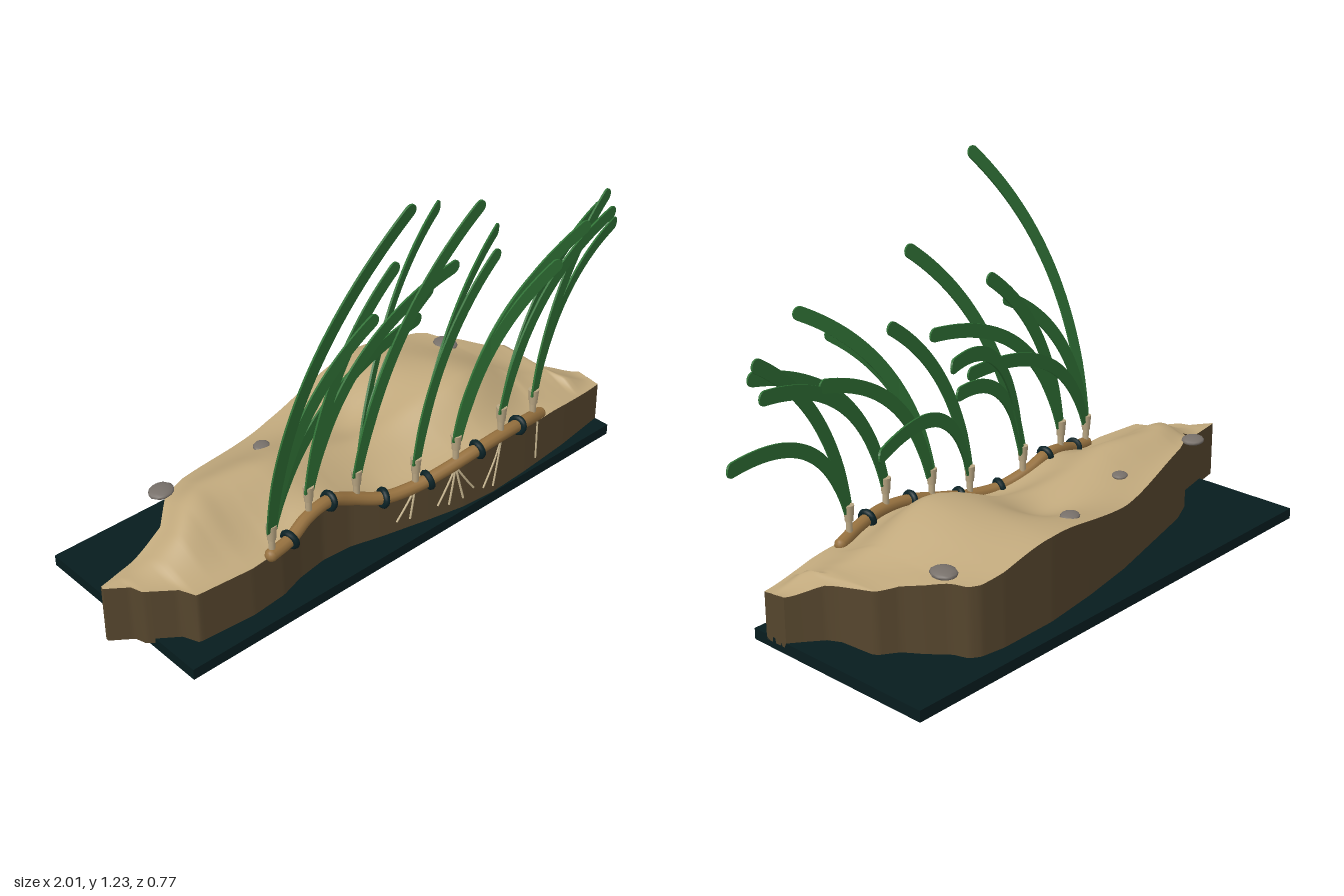
import * as THREE from 'three';

const mat = (name, color, side = THREE.FrontSide) => {
  const m = new THREE.MeshStandardMaterial({ color, side });
  m.name = name;
  return m;
};

// Eased interpolation through [x, value] pairs
function track(keys, smooth) {
  return (x) => {
    let i = 0;
    while (i < keys.length - 2 && x > keys[i + 1][0]) i++;
    const [x0, v0] = keys[i], [x1, v1] = keys[i + 1];
    let t = THREE.MathUtils.clamp((x - x0) / (x1 - x0), 0, 1);
    if (smooth) t = t * t * (3 - 2 * t);
    return v0 + (v1 - v0) * t;
  };
}

// Plan outline of the sand bank
const zBack = track([[-1, 0], [-0.9, -0.02], [-0.76, -0.05], [-0.69, -0.12], [-0.6, -0.16], [-0.4, -0.21],
  [-0.2, -0.26], [0, -0.295], [0.2, -0.32], [0.4, -0.322], [0.48, -0.31], [0.51, -0.29], [0.525, -0.24], [0.57, -0.19],
  [0.61, -0.13], [0.67, -0.09], [0.68, 0.03], [0.7, 0.07], [0.75, 0.11], [0.79, 0.14]]);
const zFront = track([[-1, 0.01], [-0.94, 0.055], [-0.93, 0.09], [-0.85, 0.15], [-0.83, 0.2], [-0.65, 0.215],
  [-0.53, 0.205], [-0.45, 0.18], [-0.35, 0.165], [-0.25, 0.172], [-0.15, 0.2], [0, 0.235], [0.13, 0.262],
  [0.25, 0.272], [0.4, 0.265], [0.6, 0.248], [0.79, 0.222]]);
// Heights along the front rim, the crest and the back rim
const yFront = track([[-1, 0.203], [-0.83, 0.2], [-0.57, 0.2], [-0.36, 0.245], [-0.1, 0.18], [0.25, 0.225],
  [0.5, 0.195], [0.79, 0.168]], true);
const yCrest = track([[-1, 0.205], [-0.92, 0.208], [-0.63, 0.312], [-0.45, 0.315], [-0.08, 0.255], [0.3, 0.34],
  [0.65, 0.222], [0.79, 0.172]], true);
const yBack = track([[-1, 0.205], [-0.9, 0.208], [-0.66, 0.28], [-0.25, 0.24], [0.2, 0.3], [0.52, 0.25],
  [0.67, 0.228], [0.68, 0.206], [0.79, 0.177]], true);
// How far back the crest lies across the bank
const crestAt = track([[-1, 0.7], [-0.62, 0.72], [-0.35, 0.5], [0, 0.45], [0.3, 0.36], [0.79, 0.45]], true);

function height(x, t) {
  const ease = (k) => k * k * (3 - 2 * k), c = crestAt(x);
  const y = t < c
    ? THREE.MathUtils.lerp(yFront(x), yCrest(x), ease((t / c) ** 1.15))
    : THREE.MathUtils.lerp(yCrest(x), yBack(x), ease((t - c) / (1 - c)));
  return y - 0.035 * Math.exp(-((x / 0.12) ** 2) - ((t - 0.62) / 0.18) ** 2);
}
const heightAt = (x, z) => height(x, THREE.MathUtils.clamp((zFront(x) - z) / (zFront(x) - zBack(x)), 0, 1));

// Smooth grid surface from a point rule
function surface(nu, nv, rule) {
  const pos = [], idx = [];
  for (let j = 0; j <= nv; j++) for (let i = 0; i <= nu; i++) pos.push(...rule(i / nu, j / nv));
  for (let j = 0; j < nv; j++) for (let i = 0; i < nu; i++) {
    const a = j * (nu + 1) + i, b = a + nu + 1;
    idx.push(a, a + 1, b, a + 1, b + 1, b);
  }
  const g = new THREE.BufferGeometry();
  g.setAttribute('position', new THREE.Float32BufferAttribute(pos, 3));
  g.setIndex(idx);
  g.computeVertexNormals();
  return g;
}

// Flat strap leaf with a rounded tip, bent in one plane;
// tall leaves bend sideways in a plane that leans forward, the rest in a vertical plane
function bladeGeometry(from, tip) {
  const dx = tip.x - from.x, dz = tip.z - from.z, tall = tip.y > 1;
  const reach = tall ? dx : Math.hypot(dx, dz);
  const dy = tall ? Math.hypot(tip.y - from.y, dz) : tip.y - from.y;
  const lift = THREE.MathUtils.clamp(0.45 + 0.35 * reach / dy, 0.6, 0.98);
  const curve = new THREE.QuadraticBezierCurve(new THREE.Vector2(0, 0),
    new THREE.Vector2(reach * (dy > 0.8 ? -0.1 : 0.2), dy * lift), new THREE.Vector2(reach, dy));
  const left = [], right = [], n = 28;
  for (let i = 0; i <= n; i++) {
    const p = curve.getPoint(i / n), d = curve.getTangent(i / n);
    const w = 0.016 + 0.005 * Math.min(1, i / 5);
    left.push(new THREE.Vector2(p.x - d.y * w, p.y + d.x * w));
    right.push(new THREE.Vector2(p.x + d.y * w, p.y - d.x * w));
  }
  const end = curve.getPoint(1), d = curve.getTangent(1), cap = [];
  for (let k = 1; k < 8; k++) {
    const a = Math.atan2(d.y, d.x) - Math.PI / 2 + Math.PI * k / 8;
    cap.push(new THREE.Vector2(end.x + Math.cos(a) * 0.021, end.y + Math.sin(a) * 0.021));
  }
  const shape = new THREE.Shape([...right, ...cap, ...left.reverse()]);
  const g = new THREE.ExtrudeGeometry(shape, { depth: 0.006, bevelEnabled: false }).translate(0, 0, -0.003);
  if (tall) g.rotateX(Math.asin(dz / dy));
  else g.rotateY(Math.atan2(-dz, dx));
  return g.translate(from.x, from.y, from.z);
}

export function createModel() {
  const root = new THREE.Group();
  root.name = 'seagrassBed';
  const M = {
    sand: mat('sand', 0xc0a87c, THREE.DoubleSide),
    soil: mat('soil', 0x55452d, THREE.DoubleSide),
    base: mat('darkTeal', 0x071c1e),
    leaf: mat('leafGreen', 0x2f7035),
    rhizome: mat('rhizomeBrown', 0x96713f),
    sheath: mat('sheathBeige', 0xb8a582),
    band: mat('bandDark', 0x0a2226),
    stone: mat('stoneGrey', 0x77706a),
    root: mat('rootTan', 0xcdbb94),
  };
  const add = (name, geo, m, parent = root) => {
    const mesh = new THREE.Mesh(geo, m);
    mesh.name = name;
    parent.add(mesh);
    return mesh;
  };
  const group = (name) => {
    const g = new THREE.Group();
    g.name = name;
    root.add(g);
    return g;
  };

  // Base slab
  add('baseSlab', new THREE.BoxGeometry(1.7, 0.035, 0.66).translate(-0.06, 0.0175, -0.055), M.base);

  // Sand bank: dune top, soil walls and underside
  const X = (u) => -1 + 1.79 * u, floor = 0.02;
  const wallY = (x, t, v) => floor + (height(x, t) - floor) * v;
  add('sandTop', surface(180, 28, (u, v) => {
    const x = X(u);
    return [x, height(x, v), THREE.MathUtils.lerp(zFront(x), zBack(x), v)];
  }), M.sand);
  add('frontWall', surface(180, 1, (u, v) => [X(u), wallY(X(u), 0, v), zFront(X(u))]), M.soil);
  add('backWall', surface(180, 1, (u, v) => [X(1 - u), wallY(X(1 - u), 1, v), zBack(X(1 - u))]), M.soil);
  for (const [name, x, dir] of [['rightEndWall', -1, -1], ['leftEndWall', 0.79, 1]]) {
    add(name, surface(8, 1, (u, v) => {
      const t = dir > 0 ? u : 1 - u;
      return [x, wallY(x, t, v), THREE.MathUtils.lerp(zFront(x), zBack(x), t)];
    }), M.soil);
  }
  add('underside', surface(180, 1, (u, v) =>
    [X(u), floor, THREE.MathUtils.lerp(zBack(X(u)), zFront(X(u)), v)]), M.soil);

  // Creeping rhizome along the front rim, its growing end turning in over the sand
  const path = new THREE.CatmullRomCurve3([[-0.575, 0.205, 0], [-0.5, 0.213, 0.004], [-0.42, 0.238, 0.006],
    [-0.33, 0.245, 0.006], [-0.25, 0.215, 0.006], [-0.15, 0.182, 0.006], [-0.05, 0.182, 0.006], [0.05, 0.2, 0.004],
    [0.18, 0.228, 0.002], [0.3, 0.235, 0], [0.4, 0.222, -0.008], [0.49, 0.2, -0.02]]
    .map(([x, y, out]) => new THREE.Vector3(x, y, zFront(x) + out)));
  add('rhizome', new THREE.TubeGeometry(path, 90, 0.02, 10), M.rhizome);
  const at = (x) => { // path parameter nearest a given x
    let lo = 0, hi = 1;
    for (let i = 0; i < 24; i++) {
      const mid = (lo + hi) / 2;
      if (path.getPoint(mid).x < x) lo = mid; else hi = mid;
    }
    return lo;
  };
  for (const t of [path.getPoint(0), path.getPoint(1)]) {
    add('rhizomeEnd', new THREE.SphereGeometry(0.02, 12, 8), M.rhizome).position.copy(t);
  }

  // Bands around the rhizome
  const bands = group('bands');
  for (const x of [-0.5, -0.33, -0.15, 0, 0.18, 0.36]) {
    const ring = add('band', new THREE.TorusGeometry(0.023, 0.01, 8, 20), M.band, bands);
    ring.position.copy(path.getPoint(at(x)));
    ring.quaternion.setFromUnitVectors(new THREE.Vector3(0, 0, 1), path.getTangent(at(x)));
  }

  // Shoots: base x, then the tips of the blades
  const shoots = [
    [-0.57, [-0.225, 1.213, 0.38], [-0.185, 0.795, 0.2], [0.08, 0.648, 0.1]],
    [-0.41, [-0.063, 0.893, 0.155], [0.2, 0.79, 0.13]],
    [-0.23, [0.198, 1.02, 0.225], [0.4, 0.812, -0.14], [0.23, 0.65, 0.005]],
    [-0.04, [0.3, 0.818, 0.2], [0.67, 0.637, -0.14]],
    [0.1, [0.52, 0.885, 0.34], [0.41, 0.797, 0.335], [0.56, 0.715, 0.2]],
    [0.28, [0.79, 0.792, 0.22], [0.82, 0.767, 0.14]],
    [0.45, [0.798, 0.838, 0.19], [0.985, 0.633, 0.08]],
  ];
  for (const [x, ...tips] of shoots) {
    const shoot = group('shoot');
    const foot = path.getPoint(at(x));
    add('stalk', new THREE.CylinderGeometry(0.01, 0.01, 0.06, 10)
      .translate(foot.x, foot.y + 0.03, foot.z - 0.003), M.sheath, shoot);
    add('sheath', new THREE.CylinderGeometry(0.017, 0.013, 0.05, 10)
      .translate(foot.x, foot.y + 0.075, foot.z - 0.003), M.sheath, shoot);
    tips.forEach((tip, i) => {
      const from = new THREE.Vector3(foot.x + (i - 0.5) * 0.008, foot.y + 0.08, foot.z + (0.5 - i) * 0.006);
      add('blade', bladeGeometry(from, new THREE.Vector3(...tip)), M.leaf, shoot);
    });
  }

  // Fine roots lying against the front wall
  const roots = group('roots');
  for (const [x, ...ends] of [
    [-0.04, [-0.1, 0.07], [-0.055, 0.065]],
    [0.1, [0.04, 0.075], [0.08, 0.065], [0.13, 0.07], [0.17, 0.09]],
    [0.28, [0.21, 0.07], [0.25, 0.06]],
    [0.455, [0.455, 0.06]],
  ]) {
    const top = path.getPoint(at(x));
    for (const [ex, ey] of ends) {
      const points = [];
      for (let k = 0; k <= 6; k++) {
        const px = x + (ex - x) * (k / 6) ** 1.15;
        points.push(new THREE.Vector3(px, THREE.MathUtils.lerp(top.y - 0.01, ey, k / 6), zFront(px) + 0.001));
      }
      add('root', new THREE.TubeGeometry(new THREE.CatmullRomCurve3(points), 12, 0.0035, 6), M.root, roots);
    }
  }

  // Flat stones on the sand
  const stones = group('stones');
  for (const [x, z, r, turn] of [[-0.68, -0.15, 0.04, 0.3], [-0.32, -0.14, 0.028, 0.6], [0.02, -0.23, 0.033, 0.4],
    [0.5, -0.19, 0.043, 1.3]]) {
    const s = add('stone', new THREE.DodecahedronGeometry(r, 1).scale(1.05, 0.32, 0.9), M.stone, stones);
    s.position.set(x, heightAt(x, z) + 0.003, z);
    s.rotation.y = turn;
  }
  return root;
}
